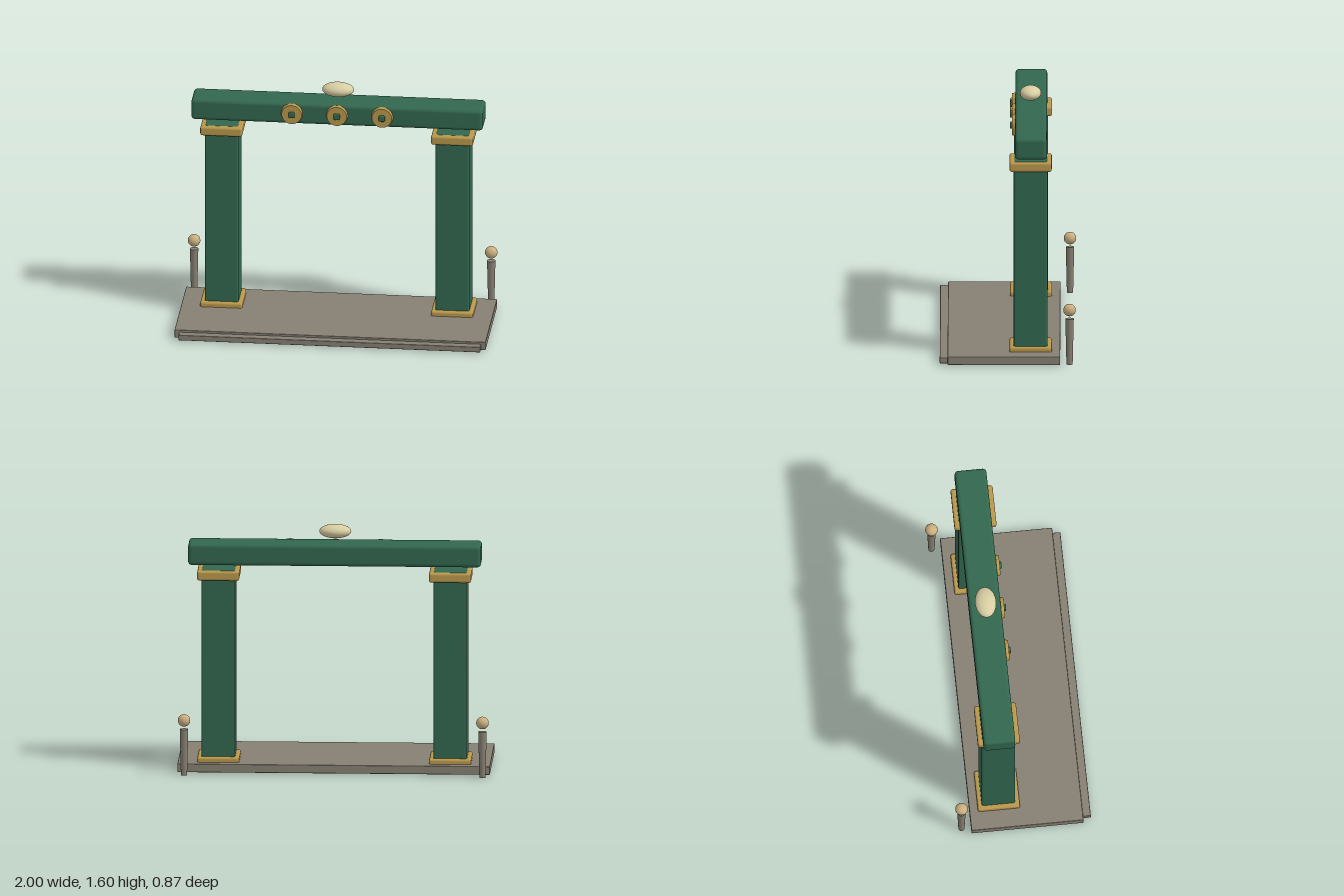
import * as THREE from 'three';
import { RoundedBoxGeometry } from 'three/addons/geometries/RoundedBoxGeometry.js';

const mat = (color) => new THREE.MeshStandardMaterial({ color });

export function createModel() {
  const group = new THREE.Group();
  const green = mat(0x32674f), gold = mat(0xb8974c), stone = mat(0x878073);
  const cream = mat(0xd8cda2), tan = mat(0xccb080);

  const add = (name, geometry, material, x, y, z) => {
    const mesh = new THREE.Mesh(geometry, material);
    mesh.name = name;
    mesh.position.set(x, y, z);
    group.add(mesh);
    return mesh;
  };

  // Rounded box given by its min and max on each axis
  const block = (name, material, [x0, x1], [y0, y1], [z0, z1], radius) =>
    add(name, new RoundedBoxGeometry(x1 - x0, y1 - y0, z1 - z0, 3, radius), material,
      (x0 + x1) / 2, (y0 + y1) / 2, (z0 + z1) / 2);

  // Stone floor with a lower front step
  block('floorSlab', stone, [-1, 1], [0.005, 0.06], [-0.34, 0.38], 0.005);
  block('frontStep', stone, [-0.97, 0.97], [0.008, 0.045], [0.32, 0.43], 0.005);

  for (const [side, s] of [['left', 1], ['right', -1]]) {
    const square = (name, material, half, y, radius) =>
      block(side + name, material, [s * 0.742 - half, s * 0.742 + half], y,
        [-0.151 - half, -0.151 + half], radius);

    // Gate column with gold collars at foot and head
    square('Column', green, 0.108, [0.01, 1.309], 0.012);
    square('FootCollar', gold, 0.135, [0.03, 0.092], 0.014);
    square('HeadCollar', gold, 0.135, [1.245, 1.306], 0.014);

    // Small post behind the floor, topped with a ball
    add(side + 'Post', new THREE.CylinderGeometry(0.027, 0.02, 0.3, 24), stone, s * 0.955, 0.15, -0.4);
    add(side + 'PostBall', new THREE.SphereGeometry(0.04, 24, 16), tan, s * 0.955, 0.357, -0.4);
  }

  // Crossbeam floating over the columns
  block('crossbeam', green, [-0.938, 0.936], [1.338, 1.48], [-0.255, -0.051], 0.024);

  // Gold discs with green studs on the beam's front
  [-0.29, 0, 0.29].forEach((x, i) => {
    const disc = add('disc' + (i + 1), new THREE.CylinderGeometry(0.064, 0.07, 0.022, 32), gold, x, 1.41, -0.041);
    disc.rotation.x = Math.PI / 2;
    block('discStud' + (i + 1), green, [x - 0.02, x + 0.02], [1.39, 1.43], [-0.05, -0.017], 0.008);
  });

  // Oval stone hovering above the beam
  add('crownStone', new THREE.SphereGeometry(1, 40, 24), cream, -0.003, 1.55, -0.149).scale.set(0.102, 0.045, 0.068);

  return group;
}
